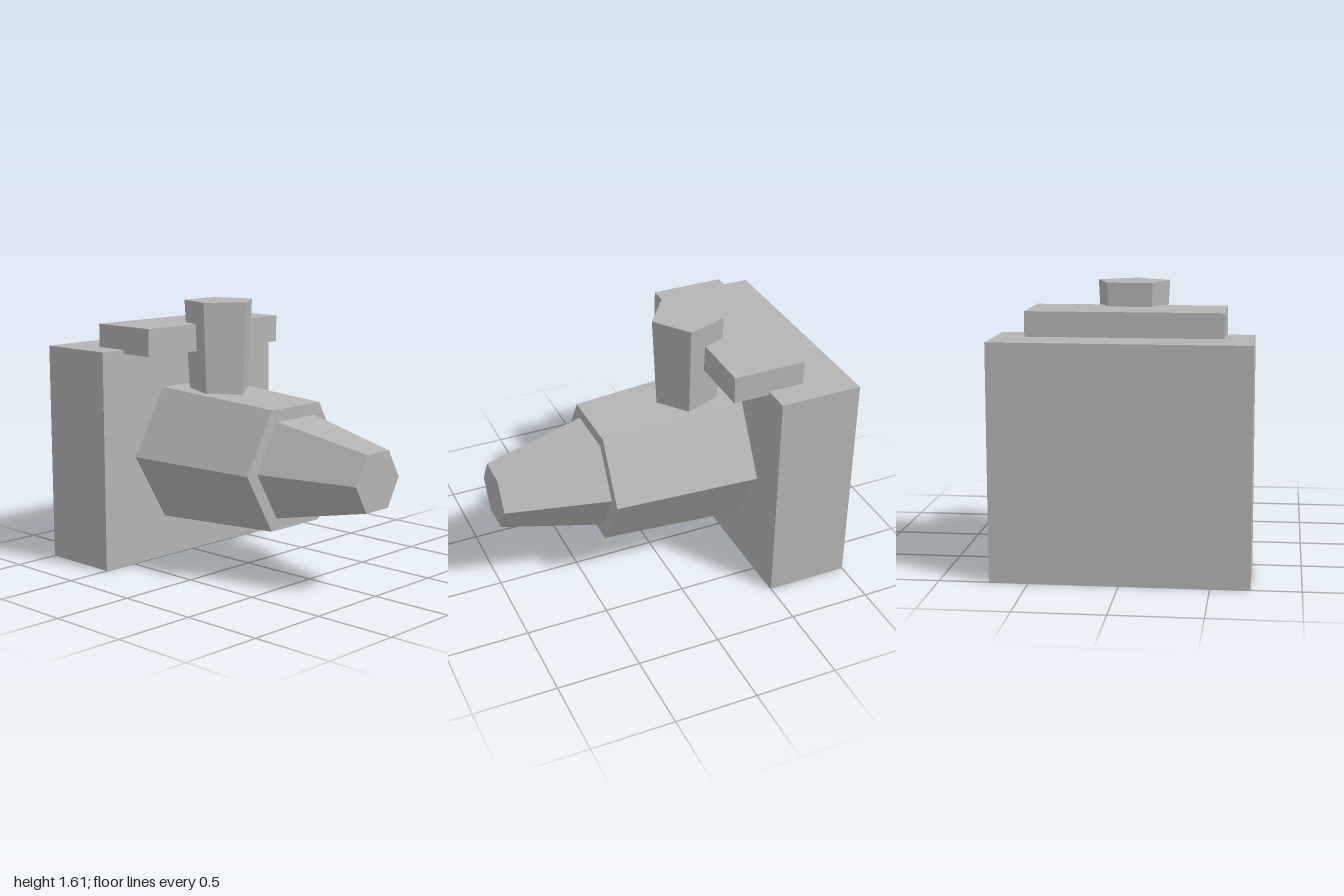
import * as THREE from 'three';

export function createModel() {
  const model = new THREE.Group();
  const grey = new THREE.MeshStandardMaterial({ color: 0xb4b4b4, flatShading: true });
  grey.name = 'plain grey';

  function add(name, geometry, x, y, z = 0) {
    const mesh = new THREE.Mesh(geometry, grey);
    mesh.name = name;
    mesh.position.set(x, y, z);
    model.add(mesh);
  }

  // Six-sided tapered section lying along x
  const axisY = 0.668;
  function hexSection(name, x0, x1, r0, r1) {
    const geometry = new THREE.CylinderGeometry(r1, r0, x1 - x0, 6).rotateZ(-Math.PI / 2);
    add(name, geometry, (x0 + x1) / 2, axisY);
  }

  // Upright slab and the bar across its top edge
  add('backSlab', new THREE.BoxGeometry(0.5, 1.333, 1.44), -0.75, 0.6665);
  add('topBar', new THREE.BoxGeometry(0.44, 0.165, 1.11), -0.5, 1.3925);

  // Stepped barrel
  hexSection('barrel', -0.5, 0.385, 0.471, 0.416);
  hexSection('barrelTip', 0.385, 1, 0.332, 0.193);

  // Five-sided post, wider at the top, with one corner towards +x
  const postBottom = 1.0, postTop = 1.612;
  add('post',
    new THREE.CylinderGeometry(0.221, 0.187, postTop - postBottom, 5, 1, false, Math.PI / 2),
    -0.237, (postBottom + postTop) / 2);

  return model;
}
